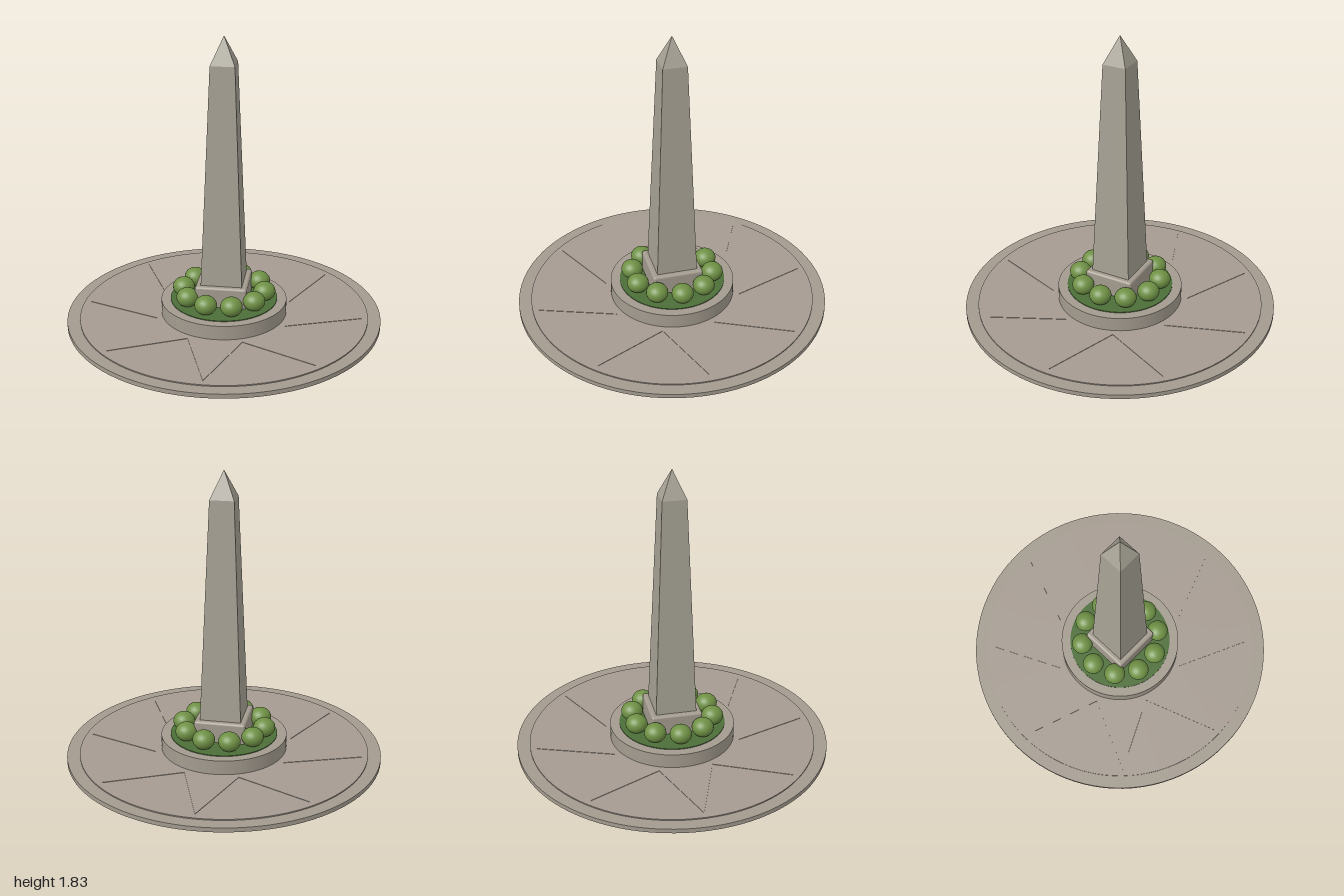
import * as THREE from 'three';
import { RoundedBoxGeometry } from 'three/addons/geometries/RoundedBoxGeometry.js';

const mat = (name, color, extra = {}) => {
  const m = new THREE.MeshStandardMaterial({ color, ...extra });
  m.name = name;
  return m;
};

export function createModel() {
  const stone = mat('plinth stone', 0xa39b8f);
  const paving = mat('paving stone', 0xa59b92);
  const granite = mat('obelisk granite', 0xa6a194, { flatShading: true });
  const soil = mat('ground cover', 0x4c6e38);
  const leaf = mat('shrub leaves', 0x6f9145);

  const model = new THREE.Group();
  model.name = 'obeliskMonument';
  const add = (name, geometry, material, x = 0, y = 0, z = 0) => {
    const mesh = new THREE.Mesh(geometry, material);
    mesh.name = name;
    mesh.position.set(x, y, z);
    model.add(mesh);
    return mesh;
  };
  const disc = (name, radius, bottom, top, material) =>
    add(name, new THREE.CylinderGeometry(radius, radius, top - bottom, 96), material, 0, (bottom + top) / 2, 0);

  // Stepped round plaza
  disc('plazaBase', 1, 0, 0.028, stone);
  disc('plazaPaving', 0.92, 0.02, 0.035, paving);

  // Eight-pointed star inlaid around the planter
  const points = [];
  for (let i = 0; i < 16; i++) {
    const r = i % 2 ? 0.44 : 0.88;
    const a = (i * Math.PI) / 8;
    points.push(new THREE.Vector2(r * Math.cos(a), r * Math.sin(a)));
  }
  const star = new THREE.ExtrudeGeometry(new THREE.Shape(points), { depth: 0.004, bevelEnabled: false });
  star.rotateX(-Math.PI / 2);
  add('pavingStar', star, paving, 0, 0.034, 0);

  // Round planter and its planting bed
  disc('planter', 0.4, 0.03, 0.13, stone);
  disc('plantingBed', 0.34, 0.12, 0.135, soil);

  // Ring of clipped shrubs
  const shrub = new THREE.SphereGeometry(0.07, 24, 16);
  for (let i = 0; i < 10; i++) {
    const a = (i * Math.PI) / 5;
    add('shrub', shrub, leaf, 0.26 * Math.cos(a), 0.19, 0.26 * Math.sin(a)).scale.y = 0.86;
  }

  // Square pedestal with softened edges
  add('pedestal', new RoundedBoxGeometry(0.325, 0.15, 0.325, 3, 0.015), stone, 0, 0.19, 0);

  // Four-sided tapering shaft and pointed cap
  const squareTaper = (halfTop, halfBottom, height, open) => {
    const g = new THREE.CylinderGeometry(halfTop * Math.SQRT2, halfBottom * Math.SQRT2, height, 4, 1, open);
    return g.rotateY(Math.PI / 4);
  };
  add('obeliskShaft', squareTaper(0.075, 0.13, 1.4, false), granite, 0, 0.96, 0);
  add('obeliskCap', squareTaper(0, 0.075, 0.17, true), granite, 0, 1.745, 0);

  return model;
}
